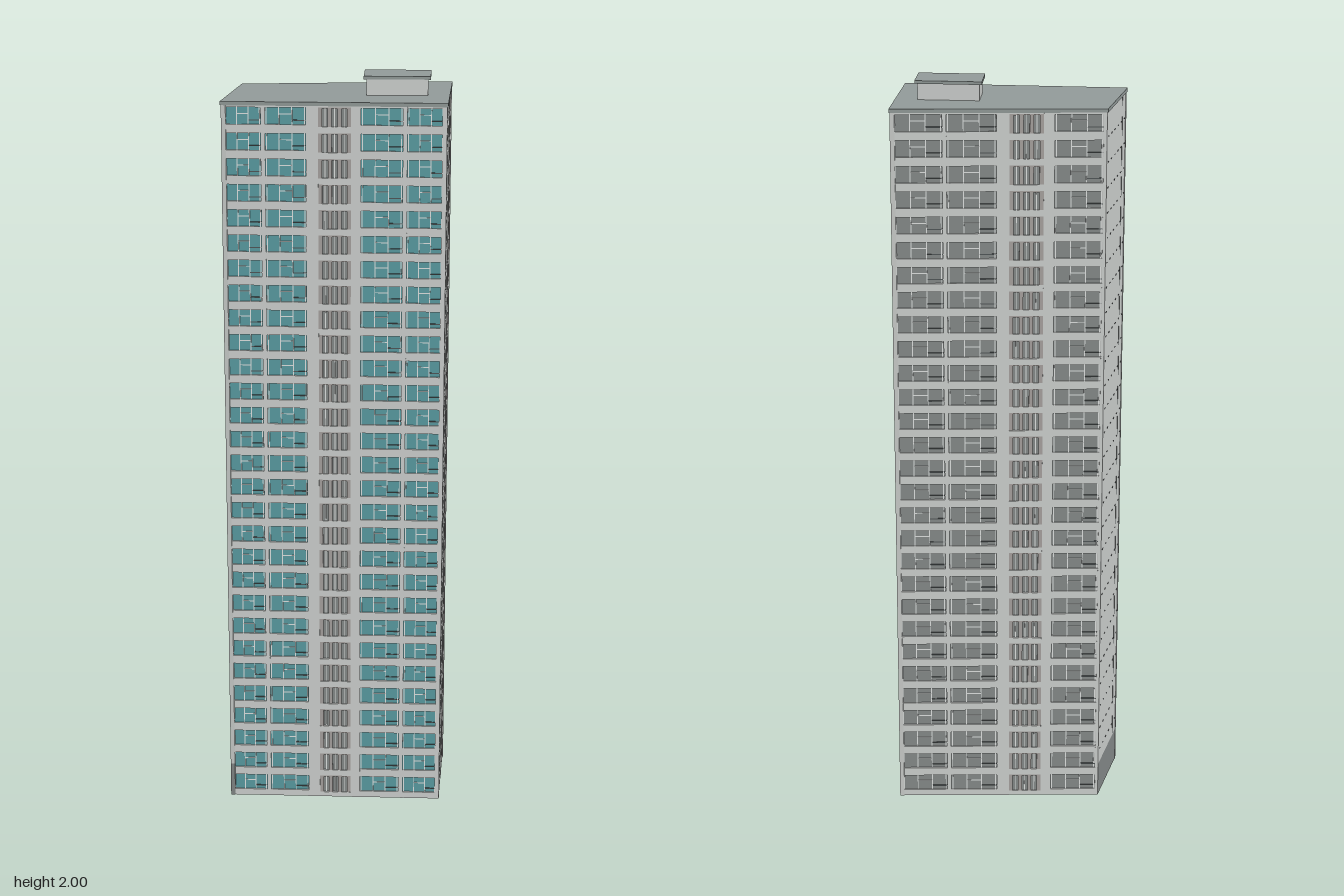
import * as THREE from 'three';
import { mergeGeometries } from 'three/addons/utils/BufferGeometryUtils.js';

const mat = (name, color) => {
  const m = new THREE.MeshStandardMaterial({ color });
  m.name = name;
  return m;
};

const FLOORS = 29, TOP = 1.94, H = TOP / FLOORS;
// Footprint corners as [x, z]
const A = [-0.318, -0.09], B = [0.148, 0.248], C = [0.318, 0.027], D = [-0.155, -0.25];

export function createModel() {
  const model = new THREE.Group();
  model.name = 'apartmentTower';
  const mats = {
    wall: mat('paleConcrete', 0xcfd2d0),
    glass: mat('tealGlass', 0x5a9da3),
    frame: mat('windowFrame', 0xe2e5e4),
    pier: mat('warmGreyPier', 0xa8a3a0),
    dark: mat('darkMetal', 0x505657),
    roof: mat('greyRoof', 0x929b99),
    base: mat('greyPlinth', 0x868b8a),
  };

  const box = (x0, x1, y0, y1, z0, z1) =>
    new THREE.BoxGeometry(x1 - x0, y1 - y0, z1 - z0)
      .translate((x0 + x1) / 2, (y0 + y1) / 2, (z0 + z1) / 2);

  // Vertical prism over a list of [x, z] corners
  function prism(name, points, y0, y1, material) {
    const shape = new THREE.Shape(points.map(([x, z]) => new THREE.Vector2(x, -z)));
    const geo = new THREE.ExtrudeGeometry(shape, { depth: y1 - y0, bevelEnabled: false });
    geo.rotateX(-Math.PI / 2).translate(0, y0, 0);
    const mesh = new THREE.Mesh(geo, material);
    mesh.name = name;
    model.add(mesh);
  }
  const scaled = (points, s) => {
    const cx = points.reduce((a, p) => a + p[0], 0) / points.length;
    const cz = points.reduce((a, p) => a + p[1], 0) / points.length;
    return points.map(([x, z]) => [cx + (x - cx) * s, cz + (z - cz) * s]);
  };

  // A facade runs from p to q, left to right as seen from outside
  function facade(name, p, q, build) {
    const dx = q[0] - p[0], dz = q[1] - p[1];
    const parts = {};
    const add = (key, ...dims) => (parts[key] ??= []).push(box(...dims));
    build(add, Math.hypot(dx, dz));
    const group = new THREE.Group();
    group.name = name;
    for (const key of Object.keys(parts)) {
      const mesh = new THREE.Mesh(mergeGeometries(parts[key]), mats[key]);
      mesh.name = name + '_' + key;
      group.add(mesh);
    }
    group.position.set(p[0], 0, p[1]);
    group.rotation.y = Math.atan2(-dz, dx);
    model.add(group);
  }

  // Wide bay: sill band, glazing, mullions, transom and a low rail
  function wideBay(add, a, b, y) {
    const w = b - a, y0 = y + H * 0.27, y1 = y + H * 0.93;
    add('glass', a, b, y0, y1, -0.012, -0.005);
    for (const t of [0.03, 0.34, 0.66, 0.97])
      add('frame', a + w * t - 0.0012, a + w * t + 0.0012, y0, y1, -0.006, -0.002);
    add('frame', a + w * 0.34, a + w * 0.66, y + H * 0.66, y + H * 0.69, -0.006, -0.003);
    add('dark', a + w * 0.66, b, y + H * 0.42, y + H * 0.45, -0.005, -0.002);
  }

  // Narrow bay: three slim windows between warm grey piers
  function narrowBay(add, a, b, y) {
    const w = b - a, y0 = y + H * 0.2, y1 = y + H * 0.9;
    add('glass', a, b, y0, y1, -0.012, -0.006);
    for (let i = 0; i <= 3; i++) {
      const c = a + w * (0.06 + 0.88 * i / 3);
      add('pier', c - w * 0.06, c + w * 0.06, y0, y1, -0.007, -0.001);
      if (i < 3) {
        const m = c + w * 0.147;
        add('frame', m - 0.001, m + 0.001, y0, y1, -0.007, -0.003);
      }
    }
    add('pier', a, b, y + H * 0.9, y + H * 0.95, -0.007, -0.001);
  }

  // Bays are [start, end, narrow] fractions; the gaps between them are solid piers
  function glazed(bays) {
    return (add, len) => {
      let prev = 0;
      for (const [s, e] of [...bays, [1, 1]]) {
        if (s > prev) add('wall', prev * len, s * len, 0, TOP, -0.012, 0);
        prev = e;
      }
      for (const [s, e, narrow] of bays) {
        const a = s * len, b = e * len;
        for (let f = 0; f < FLOORS; f++) {
          const y = f * H;
          const sill = narrow ? 0.2 : 0.27, head = narrow ? 0.95 : 0.93;
          add('wall', a, b, y, y + H * sill, -0.012, -0.0005);
          add('wall', a, b, y + H * head, y + H, -0.012, -0.0005);
          (narrow ? narrowBay : wideBay)(add, a, b, y);
        }
      }
    };
  }

  facade('frontFacade', A, B, glazed([
    [0.015, 0.175], [0.195, 0.375], [0.43, 0.575, true], [0.62, 0.805], [0.825, 0.985]]));
  facade('rightFacade', B, C, glazed([[0.045, 0.49], [0.58, 0.93, true]]));
  facade('backFacade', C, D, glazed([
    [0.015, 0.24], [0.26, 0.49], [0.55, 0.71, true], [0.76, 0.985]]));

  // Blank end wall with a plinth, a vertical joint and small vents
  facade('leftEndWall', D, A, (add, len) => {
    add('base', 0, len, 0, 0.095, -0.012, 0);
    add('wall', 0, len, 0.095, TOP, -0.012, 0);
    add('dark', len * 0.78, len * 0.78 + 0.0012, 0.095, TOP, -0.001, 0.0006);
    for (let f = 2; f < FLOORS; f++)
      for (let i = 0; i < 6; i++) {
        const x = len * (0.06 + 0.165 * i);
        add('dark', x, x + 0.009, f * H, f * H + 0.0025, -0.001, 0.0008);
      }
  });

  // Inner block and flat roof
  const plan = [A, B, C, D];
  prism('coreBlock', scaled(plan, 0.96), 0, TOP, mats.base);
  prism('roofSlab', scaled(plan, 1.008), TOP, 1.95, mats.roof);

  // Lift house on the roof, under an overhanging cap
  const house = [[0.025, 0.05], [0.165, 0.15], [0.217, 0.078], [0.077, -0.022]];
  prism('liftHouse', scaled(house, 0.92), 1.95, 1.992, mats.wall);
  prism('liftHouseCap', house, 1.992, 2.0, mats.roof);

  return model;
}
